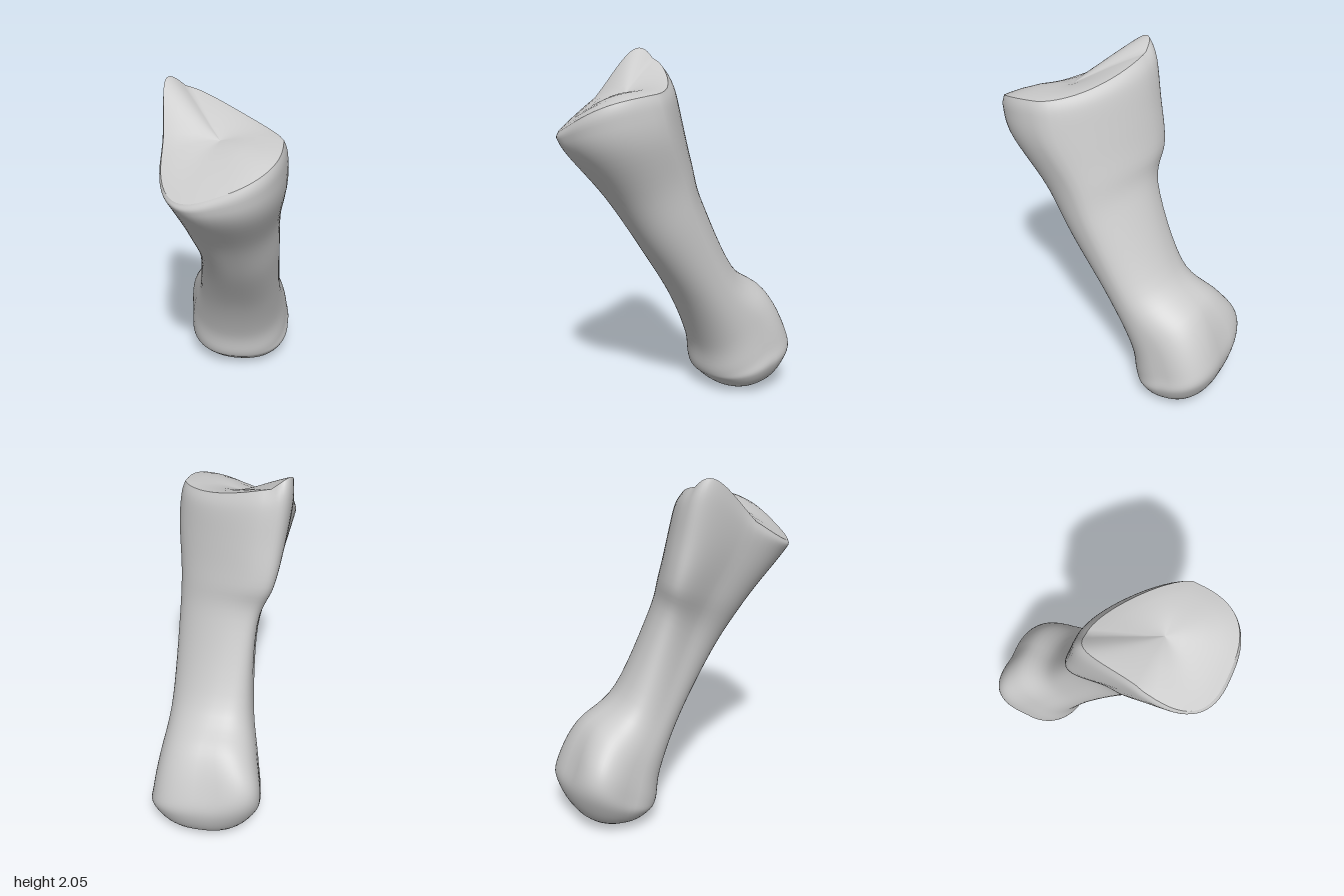
import * as THREE from 'three';

const SIDES = 64;
const STEPS = 6;
const { clamp, smoothstep, lerp } = THREE.MathUtils;

// Cross-sections from the upper joint to the lower head:
// front z, y | back z, y | min x, max x
const SECTIONS = [
  [0.69, 1.68, 0.00, 1.94, -0.325, 0.295],
  [0.705, 1.62, -0.05, 1.87, -0.335, 0.315],
  [0.66, 1.50, -0.09, 1.70, -0.31, 0.32],
  [0.45, 1.24, -0.135, 1.47, -0.25, 0.285],
  [0.26, 0.95, -0.145, 1.25, -0.18, 0.28],
  [0.02, 0.60, -0.34, 0.79, -0.20, 0.28],
  [-0.13, 0.30, -0.56, 0.62, -0.26, 0.30],
  [-0.165, 0.13, -0.68, 0.42, -0.29, 0.32],
  [-0.20, 0.08, -0.70, 0.26, -0.28, 0.33],
  [-0.27, 0.025, -0.60, 0.07, -0.17, 0.24],
  [-0.38, 0, -0.38, 0, 0.03, 0.03],
];

const signedPow = (v, p) => Math.sign(v) * Math.abs(v) ** p;

// Smooth interpolation of the sections
function sectionAt(u) {
  const i = Math.min(Math.floor(u), SECTIONS.length - 2);
  const row = (n) => SECTIONS[clamp(n, 0, SECTIONS.length - 1)];
  const f = u - i;
  return row(i).map((b, k) => {
    const a = row(i - 1)[k], c = row(i + 1)[k], d = row(i + 2)[k];
    return b + 0.5 * f * (c - a + f * (2 * a - 5 * b + 4 * c - d + f * (3 * (b - c) + d - a)));
  });
}

// Rounded outline: a ridge leans to the -x back along the shaft, and the head has two back lobes
function ring(u) {
  const [fz, fy, bz, by, x0, x1] = sectionAt(u);
  const joint = (1 - smoothstep(u, 0, 5)) ** 3;
  const ridge = 1 - smoothstep(u, 2.5, 6.5);
  const head = Math.exp(-(((u - 7) / 1.1) ** 2));
  return Array.from({ length: SIDES }, (_, j) => {
    const t = (j / SIDES) * Math.PI * 2;
    const front = Math.sin(t) > 0;
    const roundness = 0.88 - (front ? 0.15 * joint : 0.2 * head);
    const c = signedPow(Math.cos(t), roundness);
    let s = signedPow(Math.sin(t), roundness);
    const back = Math.max(0, -s);
    const width = 1 + (0.12 * head - 0.25 * ridge) * back;
    const lean = (0.23 * ridge + 0.03 * head) * back ** 1.5;
    const x = (x0 + x1) / 2 + ((x1 - x0) / 2) * c * width - lean;
    if (!front) s *= 1 - 0.08 * head * Math.max(0, 1 - Math.abs(c)) ** 2;
    const k = (1 + s) / 2;
    // The joint rim twists up to a peak at the -x back; the -x lobe of the head sits higher
    const twist = joint * (x * (0.1 + 0.3 * s) + 0.14 * Math.max(0, -c) * back);
    const lobe = -0.18 * x * head * back;
    return new THREE.Vector3(x, lerp(by, fy, k) + twist + lobe, lerp(bz, fz, k));
  });
}

// Skin a stack of rings, outward for a downward stack or upward for an inward one
function loft(rings, inward) {
  const index = [];
  for (let i = 0; i < rings.length - 1; i++) {
    for (let j = 0; j < SIDES; j++) {
      const a = i * SIDES + j, b = i * SIDES + ((j + 1) % SIDES);
      const c = a + SIDES, d = b + SIDES;
      if (inward) index.push(a, c, b, b, c, d);
      else index.push(a, b, c, b, d, c);
    }
  }
  const geometry = new THREE.BufferGeometry().setFromPoints(rings.flat());
  geometry.setIndex(index);
  geometry.computeVertexNormals();
  return geometry;
}

export function createModel() {
  const group = new THREE.Group();
  group.name = 'bone';
  const material = new THREE.MeshStandardMaterial({ color: 0xcccccc });

  // Shaft flowing into the rounded, two-lobed lower head
  const count = (SECTIONS.length - 1) * STEPS;
  const body = Array.from({ length: count + 1 }, (_, i) => ring(i / STEPS));
  const shaft = new THREE.Mesh(loft(body, false), material);
  shaft.name = 'shaftAndHead';

  // Slightly hollow joint surface on top, creased at its rim
  const centre = new THREE.Vector3(-0.03, 1.82, 0.33);
  const facetRings = [1, 0.9, 0.75, 0.5, 0.25, 0].map((k) =>
    body[0].map((v) => {
      const p = centre.clone().lerp(v, k);
      p.y = lerp(centre.y, v.y, k ** 1.3) + 0.08 * k * (1 - k);
      return p;
    }));
  const facet = new THREE.Mesh(loft(facetRings, true), material);
  facet.name = 'jointFacet';

  group.add(shaft, facet);
  return group;
}
